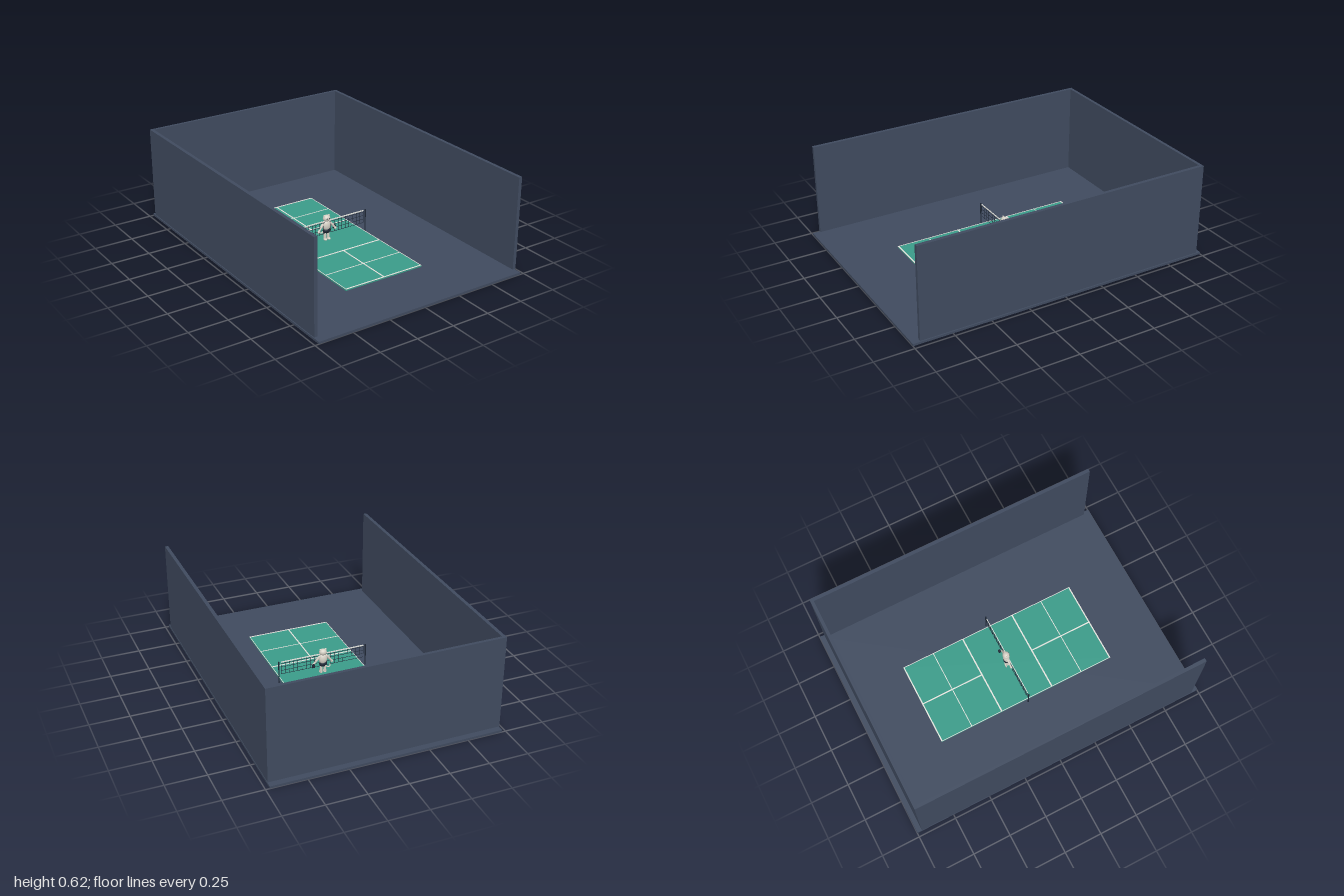
import * as THREE from 'three';

const mat = (name, color, side = THREE.FrontSide) => {
  const m = new THREE.MeshStandardMaterial({ color, side });
  m.name = name;
  return m;
};

export function createModel() {
  const slate = mat('slate', 0x3f4a5e);
  const teal = mat('court teal', 0x3a9a88);
  const white = mat('line white', 0xe2e2dc);
  const dark = mat('dark net', 0x1f2836);
  const cream = mat('cream body', 0xd6d1c6);

  const model = new THREE.Group();
  model.name = 'courtRoom';

  const add = (parent, name, geometry, material, x, y, z) => {
    const mesh = new THREE.Mesh(geometry, material);
    mesh.name = name;
    mesh.position.set(x, y, z);
    parent.add(mesh);
    return mesh;
  };
  const box = (parent, name, material, w, h, d, x, y, z) =>
    add(parent, name, new THREE.BoxGeometry(w, h, d), material, x, y, z);
  const ball = (parent, name, material, rx, ry, rz, x, y, z) => {
    const mesh = add(parent, name, new THREE.SphereGeometry(1, 20, 14), material, x, y, z);
    mesh.scale.set(rx, ry, rz);
    return mesh;
  };
  const limb = (parent, name, material, a, b, r) => {
    const p = new THREE.Vector3(...a), q = new THREE.Vector3(...b);
    const dir = q.clone().sub(p);
    const mesh = add(parent, name, new THREE.CapsuleGeometry(r, dir.length(), 5, 12), material, 0, 0, 0);
    mesh.position.copy(p).add(q).multiplyScalar(0.5);
    mesh.quaternion.setFromUnitVectors(new THREE.Vector3(0, 1, 0), dir.normalize());
    return mesh;
  };

  // Room: floor slab and three walls hovering just above it, open at the front
  const room = new THREE.Group();
  room.name = 'room';
  model.add(room);
  box(room, 'floor', slate, 1.45, 0.014, 2, 0, 0.007, 0);
  box(room, 'backWall', slate, 1.45, 0.6, 0.02, 0, 0.32, -0.958);
  for (const s of [1, -1])
    box(room, s > 0 ? 'leftWall' : 'rightWall', slate, 0.022, 0.6, 1.904, s * 0.714, 0.32, 0.004);

  // Court surface with painted lines
  const court = new THREE.Group();
  court.name = 'court';
  model.add(court);
  box(court, 'courtSurface', teal, 0.556, 0.009, 1.22, 0, 0.0185, 0);
  const line = (w, d, x, z) => box(court, 'courtLine', white, w, 0.002, d, x, 0.024, z);
  for (const s of [1, -1]) {
    line(0.556, 0.008, 0, s * 0.606);
    line(0.556, 0.009, 0, s * 0.181);
    line(0.548, 0.005, 0, s * 0.395);
    line(0.008, 0.425, 0, s * 0.394);
    line(0.004, 1.22, s * 0.276, 0);
  }

  // Net: posts, mesh cords and top tape
  const net = new THREE.Group();
  net.name = 'net';
  model.add(net);
  for (const s of [1, -1])
    add(net, 'netPost', new THREE.CylinderGeometry(0.004, 0.004, 0.149, 12), dark, s * 0.295, 0.0885, 0);
  for (let i = 0; i <= 20; i++)
    box(net, 'netCord', dark, 0.002, 0.083, 0.002, -0.28 + i * 0.028, 0.1135, 0);
  for (let i = 0; i < 4; i++)
    box(net, 'netCord', dark, 0.56, 0.002, 0.002, 0, 0.073 + i * 0.025, 0);
  box(net, 'netTape', white, 0.56, 0.007, 0.004, 0, 0.158, 0);

  // Small player standing at the net
  const player = new THREE.Group();
  player.name = 'player';
  player.position.z = -0.006;
  model.add(player);
  ball(player, 'head', cream, 0.025, 0.022, 0.022, 0, 0.174, 0);
  ball(player, 'torso', cream, 0.028, 0.036, 0.02, 0, 0.125, 0);
  ball(player, 'shorts', dark, 0.026, 0.02, 0.019, 0, 0.09, 0);
  for (const s of [1, -1]) {
    ball(player, 'ear', cream, 0.006, 0.009, 0.005, s * 0.018, 0.19, 0);
    ball(player, 'eye', dark, 0.003, 0.004, 0.002, s * 0.009, 0.176, 0.02);
    limb(player, 'upperArm', cream, [s * 0.024, 0.144, 0], [s * 0.045, 0.117, 0.002], 0.008);
    limb(player, 'forearm', cream, [s * 0.045, 0.117, 0.002], [s * 0.06, 0.098, 0.004], 0.0065);
    ball(player, 'hand', cream, 0.009, 0.009, 0.008, s * 0.063, 0.093, 0.005);
    limb(player, 'leg', cream, [s * 0.012, 0.08, 0], [s * 0.013, 0.038, 0], 0.009);
    ball(player, 'foot', cream, 0.011, 0.008, 0.016, s * 0.013, 0.032, 0.005);
  }
  // Curled tail
  const tail = new THREE.CatmullRomCurve3([
    [-0.008, 0.085, -0.014], [-0.026, 0.07, -0.018], [-0.04, 0.075, -0.018], [-0.038, 0.092, -0.016],
  ].map(p => new THREE.Vector3(...p)));
  add(player, 'tail', new THREE.TubeGeometry(tail, 16, 0.004, 8), cream, 0, 0, 0);
  // Paddle held edge-on in the left hand
  limb(player, 'paddleHandle', dark, [0.064, 0.093, 0.004], [0.069, 0.093, -0.008], 0.003);
  box(player, 'paddleBlade', dark, 0.016, 0.022, 0.012, 0.07, 0.092, -0.012);

  return model;
}
